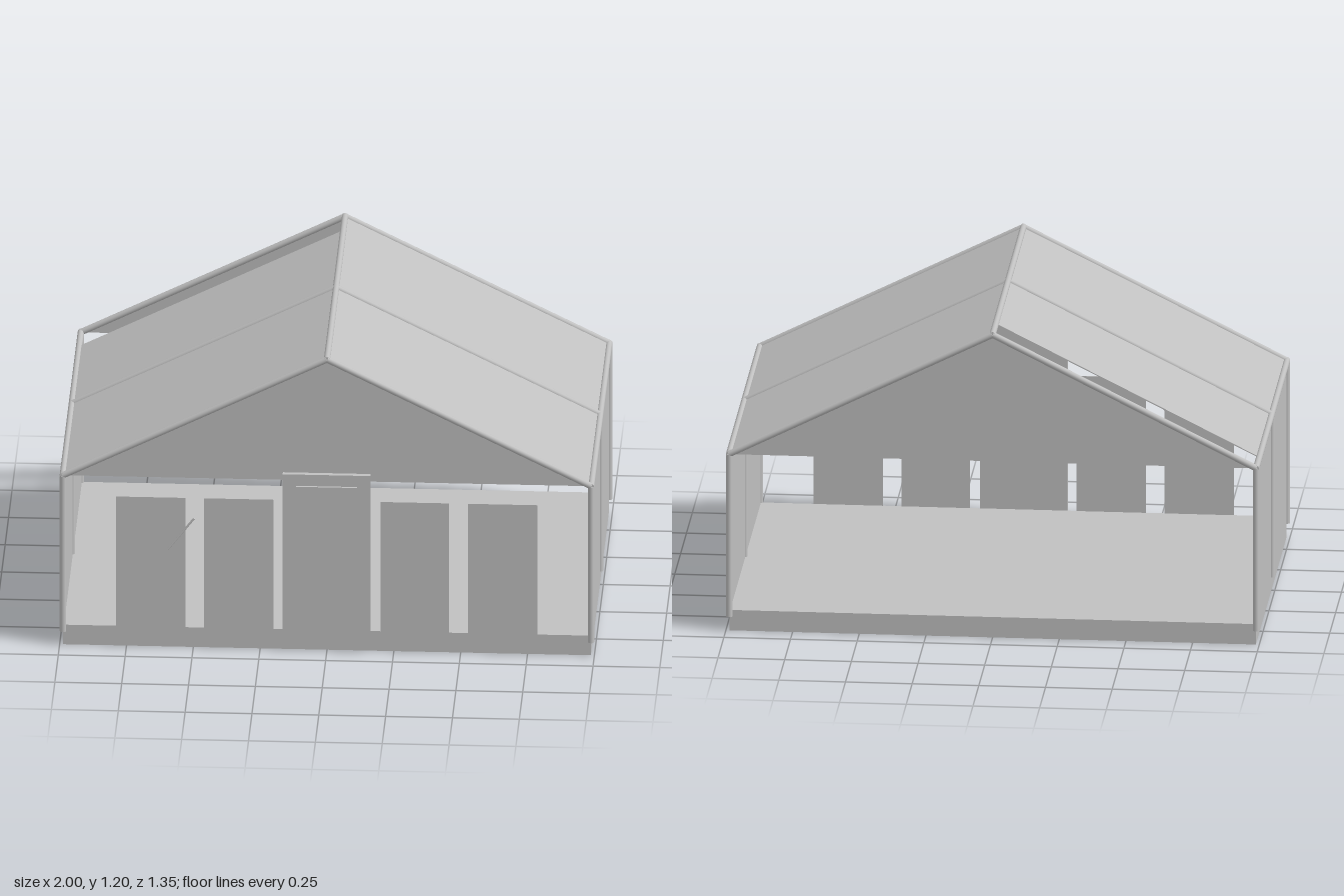
import * as THREE from 'three';

export function createModel() {
  const model = new THREE.Group();
  model.name = 'cabin';
  const grey = new THREE.MeshStandardMaterial({ color: 0xc0c0c0 });
  grey.name = 'plain grey';

  const POST_X = 0.988, EAVE = 0.692, RIDGE = 1.188, R = 0.012;
  const FRAMES = [0.652, -0.006, -0.662];
  const BAYS = [[0.012, 0.64], [-0.65, -0.024]];
  const THIN = 0.004;

  const add = (name, geometry) => {
    const mesh = new THREE.Mesh(geometry, grey);
    mesh.name = name;
    model.add(mesh);
    return mesh;
  };

  // Box given by its limits on each axis
  const box = (name, x0, x1, y0, y1, z0, z1) => {
    const mesh = add(name, new THREE.BoxGeometry(x1 - x0, y1 - y0, z1 - z0));
    mesh.position.set((x0 + x1) / 2, (y0 + y1) / 2, (z0 + z1) / 2);
    return mesh;
  };

  // Round pole between two points
  const pole = (name, a, b, radius = R) => {
    const from = new THREE.Vector3(...a), to = new THREE.Vector3(...b);
    const dir = to.clone().sub(from);
    const mesh = add(name, new THREE.CylinderGeometry(radius, radius, dir.length(), 16));
    mesh.position.copy(from).add(to).multiplyScalar(0.5);
    mesh.quaternion.setFromUnitVectors(new THREE.Vector3(0, 1, 0), dir.normalize());
    return mesh;
  };

  // Floor slab
  box('floorSlab', -0.987, 0.987, 0, 0.08, -0.662, 0.65);

  // Pole frame: posts, rafters, eave beams and ridge beam
  for (const side of [-1, 1]) {
    const x = side * POST_X;
    for (const z of FRAMES) {
      pole('post', [x, 0.055, z], [x, EAVE, z]);
      pole('rafter', [x, EAVE, z], [0, RIDGE, z]);
    }
    pole('eaveBeam', [x, EAVE, -0.668], [x, EAVE, 0.658]);
  }
  pole('ridgeBeam', [0, RIDGE, -0.668], [0, RIDGE, 0.658]);

  // Side walls, one panel per bay
  for (const side of [-1, 1]) {
    for (const [z0, z1] of BAYS) {
      const x = side * 0.986;
      box('wallPanel', x - THIN / 2, x + THIN / 2, 0.055, EAVE, z0, z1);
    }
  }

  // Roof panels; the left rear one is short and leaves an opening at the back
  const slope = Math.atan2(RIDGE - EAVE, POST_X);
  const slopeLength = Math.hypot(RIDGE - EAVE, POST_X) - 0.012;
  const roofPanel = (side, z0, z1) => {
    const mesh = add('roofPanel', new THREE.BoxGeometry(slopeLength, THIN, z1 - z0));
    mesh.position.set(side * POST_X / 2, (EAVE + RIDGE) / 2, (z0 + z1) / 2);
    mesh.rotation.z = -side * slope;
  };
  roofPanel(1, -0.655, -0.01);
  roofPanel(1, 0, 0.645);
  roofPanel(-1, -0.53, 0);
  roofPanel(-1, 0, 0.645);

  // Gable triangles at both ends
  const triangle = new THREE.Shape();
  triangle.moveTo(-0.985, EAVE);
  triangle.lineTo(0.985, EAVE);
  triangle.lineTo(0, RIDGE);
  triangle.closePath();
  for (const [name, z] of [['frontGable', 0.65], ['backGable', -0.662]]) {
    const geometry = new THREE.ExtrudeGeometry(triangle, { depth: THIN, bevelEnabled: false });
    add(name, geometry).position.z = z - THIN / 2;
  }

  // Free-standing panels in the open front
  for (const [x0, x1] of [[-0.79, -0.53], [-0.46, -0.2], [0.2, 0.457], [0.527, 0.787]]) {
    box('frontPanel', x0, x1, 0.055, 0.61, 0.649, 0.653);
  }

  // Door with its raised window, and the slanted rod
  box('door', -0.165, 0.163, 0.037, 0.723, 0.65, 0.671);
  box('doorWindow', -0.115, 0.114, 0.35, 0.677, 0.671, 0.68);
  pole('slantedRod', [-0.595, 0.4, 0.656], [-0.497, 0.528, 0.656], 0.004);

  return model;
}
